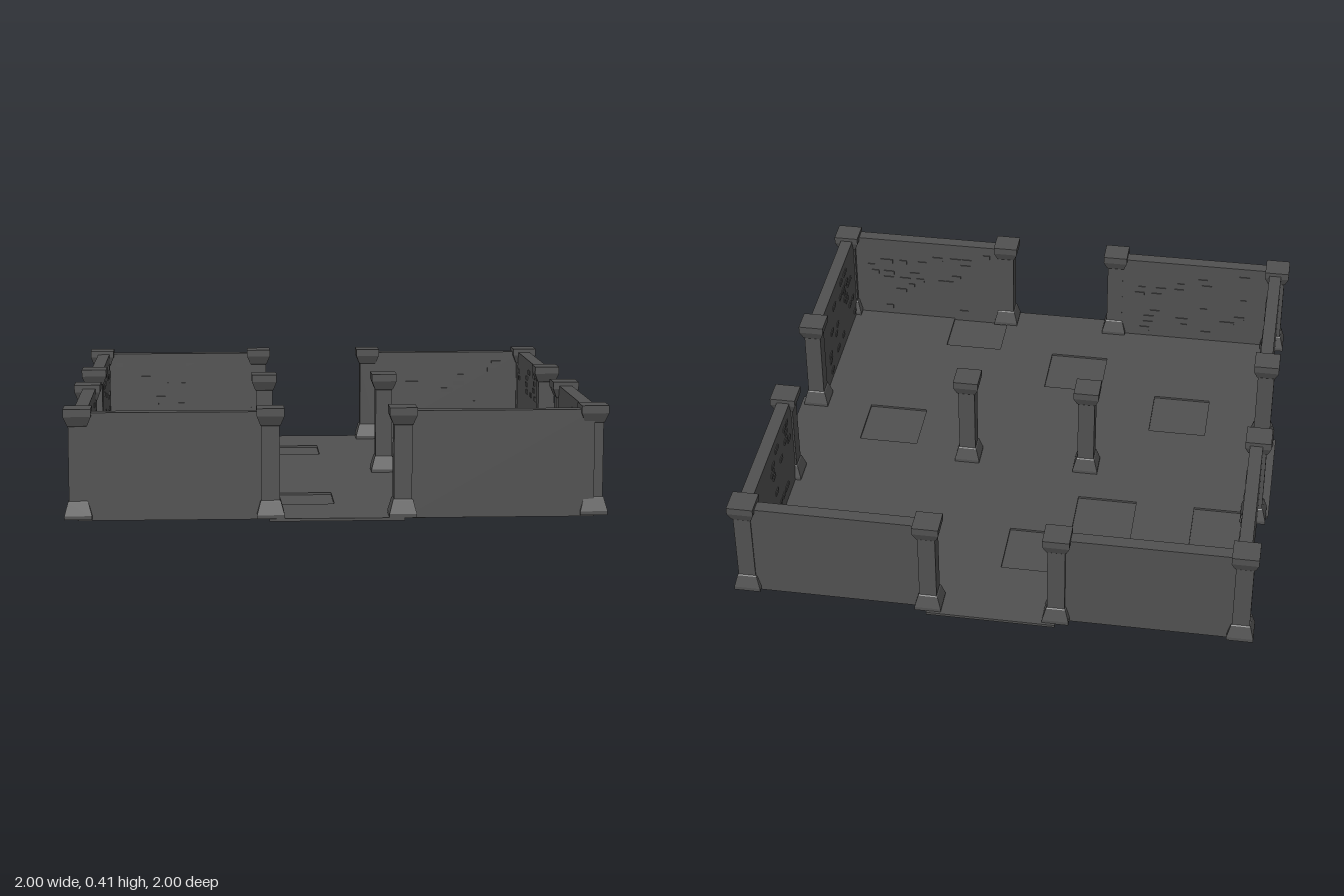
import * as THREE from 'three';

export function createModel() {
  const model = new THREE.Group();
  model.name = 'ruinedRoom';
  const stone = new THREE.MeshStandardMaterial({ color: 0x505050, flatShading: true });
  stone.name = 'darkStone';

  // box given by its lower and upper corners
  function block(name, x0, x1, y0, y1, z0, z1, parent = model) {
    const mesh = new THREE.Mesh(new THREE.BoxGeometry(x1 - x0, y1 - y0, z1 - z0), stone);
    mesh.position.set((x0 + x1) / 2, (y0 + y1) / 2, (z0 + z1) / 2);
    mesh.name = name;
    parent.add(mesh);
  }

  // seeded random numbers for the rough brickwork
  let seed = 7;
  const random = () => (seed = (seed * 16807) % 2147483647) / 2147483647;

  // floor of 8 x 8 slabs, some of them sunken
  const floor = new THREE.Group();
  floor.name = 'floor';
  model.add(floor);
  const edges = [-0.945, -0.705, -0.473, -0.24, 0, 0.23, 0.467, 0.705, 0.94];
  const sunken = ['0,0', '1,0', '0,1', '0,2', '3,1', '2,2', '6,0', '7,1', '6,4', '1,5', '3,6', '5,7'];
  for (let i = 0; i < 8; i++) {
    for (let j = 0; j < 8; j++) {
      const low = sunken.includes(i + ',' + j);
      block(low ? 'sunkenSlab' : 'floorSlab', edges[i], edges[i + 1], low ? 0 : 0.002,
        low ? 0.004 : 0.012, edges[j], edges[j + 1], floor);
    }
  }

  // thresholds in the four doorways
  block('backThreshold', -0.25, 0.24, 0.002, 0.012, -1, -0.945);
  block('frontThreshold', -0.25, 0.24, 0.002, 0.012, 0.94, 0.995);
  block('rightThreshold', -1, -0.945, 0.002, 0.012, -0.25, 0.245);
  block('leftThreshold', 0.94, 1, 0.002, 0.012, -0.25, 0.245);

  // walls: a pair on each side with a doorway gap, bricks standing out on the inner face
  for (const side of [-1, 1]) {
    for (const [a, b] of [[-0.94, -0.25], [0.24, 0.935]]) {
      for (const alongX of [true, false]) {
        const wall = new THREE.Group();
        wall.name = alongX ? (side > 0 ? 'frontWall' : 'backWall') : (side > 0 ? 'leftWall' : 'rightWall');
        model.add(wall);
        const put = (name, u0, u1, y0, y1, d0, d1) => {
          const w0 = Math.min(side * d0, side * d1);
          const w1 = Math.max(side * d0, side * d1);
          if (alongX) block(name, u0, u1, y0, y1, w0, w1, wall);
          else block(name, w0, w1, y0, y1, u0, u1, wall);
        };
        put('wallPanel', a, b, 0.004, 0.398, 0.908, 0.958);
        for (let k = 0; k < 24; k++) {
          const u = a + 0.06 + random() * (b - a - 0.16);
          const y = 0.04 + Math.floor(random() * 11) * 0.03;
          put('brick', u, u + 0.025 + random() * 0.025, y, y + 0.018, 0.904, 0.91);
        }
      }
    }
  }

  // square pillars with flared base and cap
  const profile = [[0, 0.01], [0.05, 0.01], [0.05, 0.024], [0.037, 0.072], [0.033, 0.076],
    [0.033, 0.348], [0.037, 0.352], [0.05, 0.385], [0.05, 0.413], [0, 0.413]];
  const pillarShape = new THREE.LatheGeometry(
    profile.map(([r, y]) => new THREE.Vector2(r * Math.SQRT2, y)), 4, Math.PI / 4);
  const pillars = [
    [-0.94, -0.93], [-0.25, -0.94], [0.235, -0.94], [0.935, -0.93],
    [-0.94, -0.25], [0.935, -0.255], [-0.94, 0.245], [0.935, 0.24],
    [-0.94, 0.925], [-0.245, 0.94], [0.235, 0.94], [0.935, 0.92],
    [-0.245, -0.04], [0.24, -0.04],
  ];
  for (const [x, z] of pillars) {
    const pillar = new THREE.Mesh(pillarShape, stone);
    pillar.position.set(x, 0, z);
    pillar.name = Math.abs(z) < 0.1 ? 'centrePillar' : 'wallPillar';
    model.add(pillar);
  }
  return model;
}
